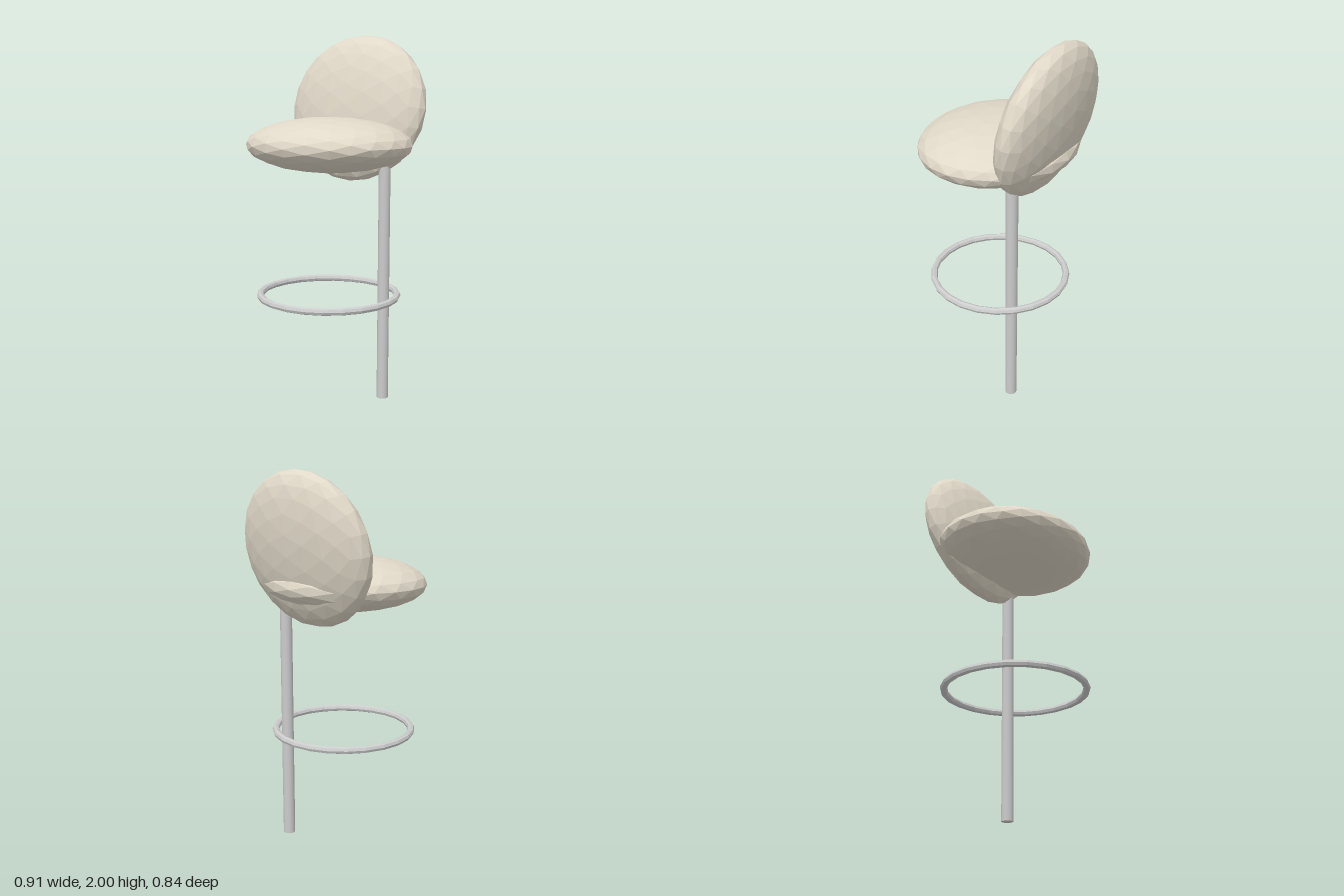
import * as THREE from 'three';

const fabric = new THREE.MeshStandardMaterial({ color: 0xe0d8c8, flatShading: true });
const metal = new THREE.MeshStandardMaterial({ color: 0xcccccc });
const facetedMetal = new THREE.MeshStandardMaterial({ color: 0xcccccc, flatShading: true });

const CENTER_Z = 0.015;

// Faceted cushion: an icosphere halved twice, then squashed
function cushion(name, rx, ry, rz) {
  const base = new THREE.IcosahedronGeometry(1, 1).attributes.position;
  const indices = Array.from({ length: base.count }, (_, i) => i);
  const geometry = new THREE.PolyhedronGeometry(Array.from(base.array), indices, 1, 1);
  geometry.scale(rx, ry, rz);
  const mesh = new THREE.Mesh(geometry, fabric);
  mesh.name = name;
  return mesh;
}

export function createModel() {
  const stool = new THREE.Group();
  stool.name = 'barStool';

  // Seat cushion
  const seat = cushion('seat', 0.457, 0.146, 0.403);
  seat.position.set(0, 1.42, CENTER_Z);

  // Round backrest, leaning backwards
  const backrest = cushion('backrest', 0.421, 0.402, 0.139);
  backrest.position.set(0, 1.605, -0.265);
  backrest.rotation.x = -0.19;

  // Single rear leg
  const leg = new THREE.Mesh(new THREE.CylinderGeometry(0.032, 0.032, 1.32, 16), metal);
  leg.name = 'rearLeg';
  leg.position.set(0.217, 0.66, -0.2);

  // Foot ring
  const ring = new THREE.Mesh(new THREE.TorusGeometry(0.37, 0.019, 8, 24), facetedMetal);
  ring.name = 'footRing';
  ring.rotation.x = Math.PI / 2;
  ring.position.set(0, 0.612, CENTER_Z);

  stool.add(seat, backrest, leg, ring);
  return stool;
}
